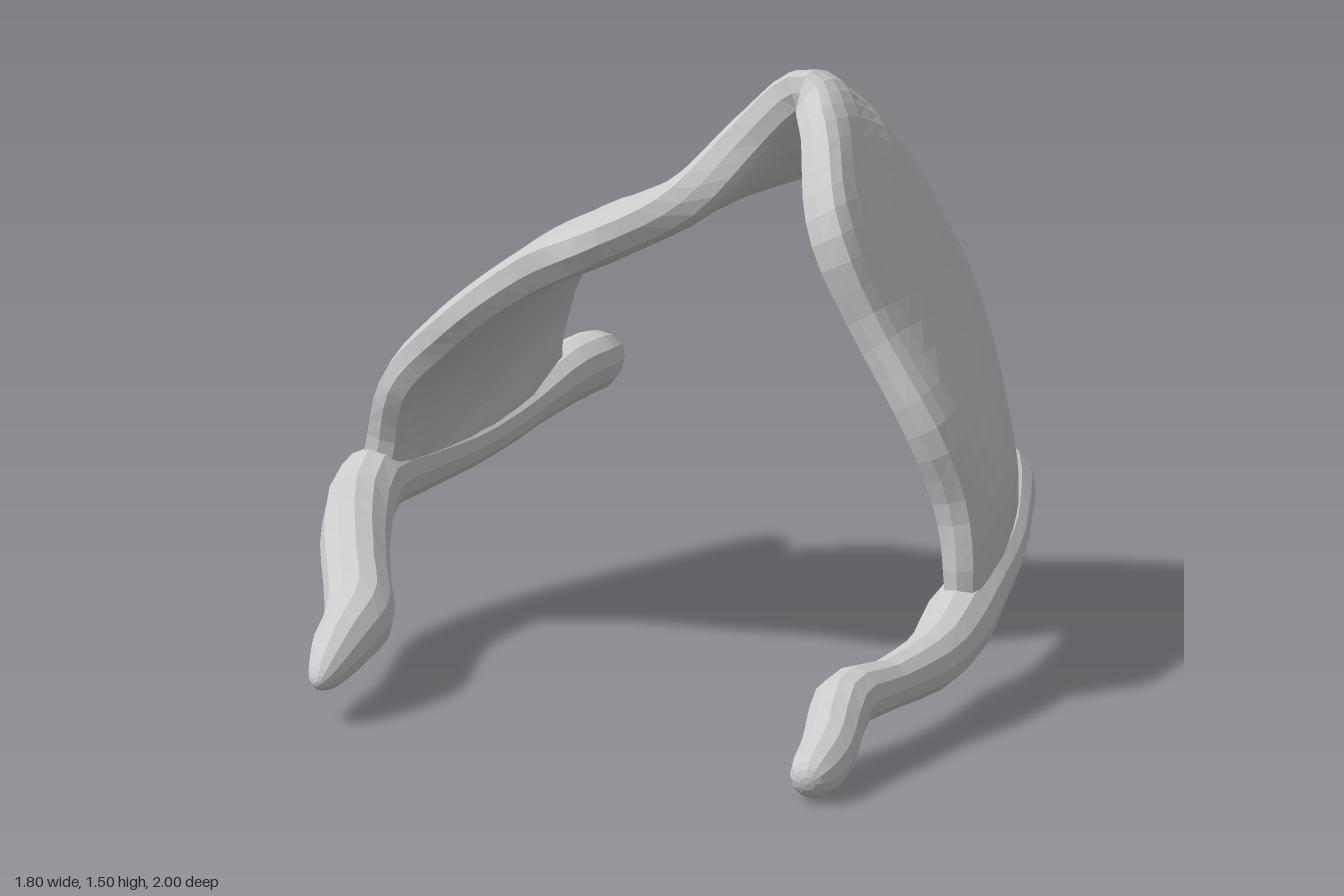
import * as THREE from 'three';
import { ParametricGeometry } from 'three/addons/geometries/ParametricGeometry.js';

const material = new THREE.MeshStandardMaterial({ color: 0xcccccc, flatShading: true, side: THREE.DoubleSide });

// Arch stations from the right foot over the ridge to the left foot:
// front rim [x, y, z], middle [x, y], back rim [x, y, z]
const stations = [
  [[-0.81, 0.36, 0.07], [-0.74, 0.42], [-0.64, 0.55, -0.76]],
  [[-0.79, 0.50, 0.07], [-0.755, 0.55], [-0.64, 0.66, -0.73]],
  [[-0.72, 0.69, 0.10], [-0.69, 0.72], [-0.62, 0.80, -0.75]],
  [[-0.55, 0.84, 0.15], [-0.53, 0.91], [-0.52, 0.99, -0.78]],
  [[-0.30, 1.01, 0.22], [-0.33, 1.05], [-0.36, 1.07, -0.74]],
  [[-0.10, 1.10, 0.26], [-0.10, 1.14], [-0.12, 1.12, -0.73]],
  [[0.08, 1.20, 0.12], [0.06, 1.22], [0.05, 1.17, -0.77]],
  [[0.18, 1.36, -0.08], [0.16, 1.31], [0.17, 1.20, -0.78]],
  [[0.28, 1.46, -0.15], [0.27, 1.385], [0.28, 1.20, -0.78]],
  [[0.37, 1.40, -0.04], [0.385, 1.32], [0.38, 1.14, -0.77]],
  [[0.46, 1.21, 0.14], [0.475, 1.19], [0.47, 1.01, -0.76]],
  [[0.58, 0.95, 0.16], [0.58, 0.94], [0.565, 0.81, -0.76]],
  [[0.75, 0.66, 0.14], [0.69, 0.70], [0.62, 0.63, -0.73]],
  [[0.81, 0.42, 0.10], [0.755, 0.48], [0.645, 0.48, -0.74]],
  [[0.82, 0.18, 0.10], [0.765, 0.27], [0.64, 0.35, -0.78]],
];

const spline = (pts) => new THREE.CatmullRomCurve3(pts.map((p) => new THREE.Vector3(p[0], p[1], p[2])));

function createPlate() {
  const front = spline(stations.map((s) => s[0]));
  const middle = spline(stations.map(([f, m, b]) => [m[0], m[1], (f[2] + b[2]) / 2]));
  const back = spline(stations.map((s) => s[2]));

  // Centre sheet: a parabola from front rim through middle to back rim
  const sheet = (u, s) => {
    const p = front.getPoint(u).multiplyScalar((1 - s) * (1 - 2 * s));
    p.addScaledVector(middle.getPoint(u), 4 * s * (1 - s));
    p.addScaledVector(back.getPoint(u), s * (2 * s - 1));
    // slightly ragged rims
    p.z += 0.008 * Math.sin(u * 61 + s * 4) * Math.pow(Math.abs(2 * s - 1), 4);
    return p;
  };

  const e = 0.004;
  return new ParametricGeometry((u, v, target) => {
    // v runs front to back on the outside, then returns on the inside
    const a = v * Math.PI * 2;
    const s = (1 - Math.cos(a)) / 2;
    const u0 = Math.max(0, u - e), u1 = Math.min(1, u + e);
    const s0 = Math.max(0, s - e), s1 = Math.min(1, s + e);
    const du = sheet(u1, s).sub(sheet(u0, s));
    const dv = sheet(u, s1).sub(sheet(u, s0));
    const normal = du.cross(dv).normalize();
    const footRound = Math.sqrt(Math.max(0, 1 - Math.pow(2 * u - 1, 16)));
    const bumps = 1 + 0.08 * Math.sin(u * 37 + s * 5) * Math.cos(s * 13 - u * 9);
    // thick front rim, thin back
    const half = (0.042 + 0.045 * (1 - s) ** 2) * bumps * footRound;
    target.copy(sheet(u, s)).addScaledVector(normal, half * Math.sign(Math.sin(a)) * Math.sqrt(Math.abs(Math.sin(a))));
  }, 60, 26);
}

// Rounded tube along z with its own radius at each point [x, y, z, radius]
function createRail(points) {
  const curve = spline(points);
  const up = new THREE.Vector3(0, 1, 0);
  return new ParametricGeometry((u, v, target) => {
    const t = (1 - Math.cos(v * Math.PI)) / 2;
    const k = t * (points.length - 1);
    const j = Math.min(points.length - 2, Math.floor(k));
    const cap = Math.sqrt(Math.max(0, 1 - Math.pow(Math.abs(2 * t - 1), 30)));
    const r = THREE.MathUtils.lerp(points[j][3], points[j + 1][3], k - j) * cap;
    const tangent = curve.getTangent(t);
    const side = up.clone().cross(tangent).normalize();
    const rise = tangent.cross(side);
    const a = u * Math.PI * 2;
    target.copy(curve.getPoint(t))
      .addScaledVector(side, Math.cos(a) * r)
      .addScaledVector(rise, Math.sin(a) * r);
  }, 12, 40);
}

// Each rail is a front horn, the lower border of the plate and a back horn in one sweep
const rails = {
  rightHornsAndBorder: [
    [-0.52, 0.11, 0.88, 0.035], [-0.54, 0.16, 0.74, 0.07], [-0.57, 0.20, 0.58, 0.088], [-0.66, 0.25, 0.42, 0.085],
    [-0.765, 0.32, 0.23, 0.09], [-0.81, 0.41, 0.07, 0.092], [-0.795, 0.42, -0.15, 0.075], [-0.745, 0.44, -0.40, 0.06],
    [-0.69, 0.50, -0.62, 0.06], [-0.64, 0.57, -0.77, 0.085], [-0.61, 0.59, -0.88, 0.085], [-0.61, 0.60, -1.0, 0.045]],
  leftHornsAndBorder: [
    [0.79, 0.06, 0.998, 0.058], [0.775, 0.085, 0.84, 0.066], [0.755, 0.165, 0.68, 0.072], [0.79, 0.165, 0.50, 0.06],
    [0.825, 0.18, 0.27, 0.075], [0.815, 0.22, 0.08, 0.088], [0.805, 0.27, -0.12, 0.072], [0.77, 0.29, -0.35, 0.06],
    [0.71, 0.32, -0.58, 0.06], [0.63, 0.38, -0.76, 0.088], [0.56, 0.39, -0.86, 0.095], [0.575, 0.40, -0.97, 0.05]],
};

export function createModel() {
  const group = new THREE.Group();
  group.name = 'archedShell';
  const add = (name, geometry) => {
    geometry.computeVertexNormals();
    const mesh = new THREE.Mesh(geometry, material);
    mesh.name = name;
    group.add(mesh);
  };
  add('archPlate', createPlate());
  for (const [name, points] of Object.entries(rails)) add(name, createRail(points));
  return group;
}
